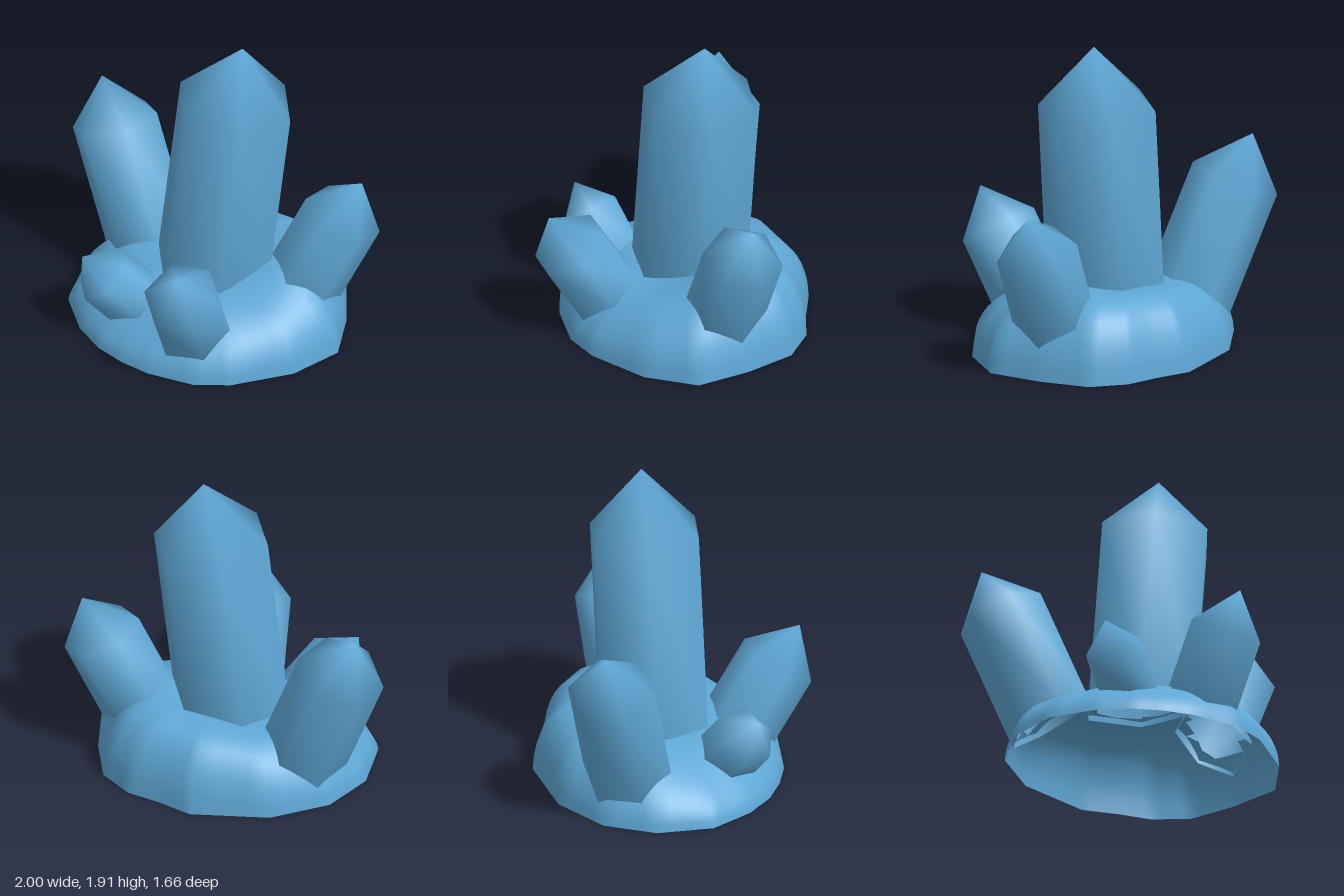
import * as THREE from 'three';
import { mergeVertices } from 'three/addons/utils/BufferGeometryUtils.js';

const crystalBlue = new THREE.MeshStandardMaterial({ color: 0x5fa8d6, side: THREE.DoubleSide });
crystalBlue.name = 'crystal blue';

// shoulder: centre of the widest ring, tip: point, r: radius, roll: degrees
const CRYSTALS = [
  { name: 'mainCrystal', shoulder: [0.15, 1.515, -0.155], tip: [0.19, 1.91, -0.17], r: 0.36, roll: 0 },
  { name: 'leftOfMainCrystal', shoulder: [-0.755, 0.925, -0.415], tip: [-0.86, 1.19, -0.46], r: 0.268, roll: 50 },
  { name: 'rightOfMainCrystal', shoulder: [0.79, 0.79, -0.285], tip: [0.9, 1.035, -0.32], r: 0.243, roll: 40 },
  { name: 'frontCrystal', shoulder: [0.17, 0.61, 0.64], tip: [0.19, 0.83, 0.77], r: 0.235, roll: 52 },
  { name: 'smallCrystal', shoulder: [-0.455, 0.435, 0.4], tip: [-0.56, 0.575, 0.47], r: 0.19, roll: 50 },
].map((c) => {
  const shoulder = new THREE.Vector3(...c.shoulder);
  const axis = new THREE.Vector3(...c.tip).sub(shoulder);
  const tipHeight = axis.length();
  return { ...c, shoulder, axis: axis.normalize(), tipHeight };
});

// Outline of the rock on the ground, around its centre
const CENTRE = [0.03, -0.1];
const RIM = [
  [0.89, 0], [0.74, 0.3], [0.45, 0.56], [0.25, 0.65], [-0.05, 0.66], [-0.24, 0.62], [-0.42, 0.55],
  [-0.6, 0.42], [-0.78, 0.19], [-0.82, -0.15], [-0.7, -0.46], [-0.41, -0.705], [0.05, -0.825],
  [0.27, -0.765], [0.47, -0.73], [0.67, -0.6], [0.8, -0.32],
].map(([x, z]) => [x - CENTRE[0], z - CENTRE[1]]);

// How far out a point is: 0 at the centre, 1 at the rim
function rimFraction(x, z) {
  const px = x - CENTRE[0], pz = z - CENTRE[1];
  return Math.min(1, Math.max(...RIM.map(([ax, az], i) => {
    const [bx, bz] = RIM[(i + 1) % RIM.length];
    const ex = bx - ax, ez = bz - az;
    return (px * ez - pz * ex) / (ax * ez - az * ex);
  })));
}

// Height of the rock: lower towards the front and the -x side, swelling where crystals leave it
function rockHeight(x, z, k) {
  const dome = Math.pow(1 - Math.pow(k, 4.5), 0.55);
  let y = 0.46 * (0.79 - 0.39 * z + 0.25 * x);
  for (const { shoulder } of CRYSTALS.slice(1)) {
    const d = Math.hypot(x - shoulder.x * 0.62, z - shoulder.z * 0.62);
    y += 0.05 * Math.exp(-d * d / 0.04);
  }
  return y * dome;
}

// Hollow six-sided shaft with a pointed top, its foot cut to the rock
function crystal({ name, shoulder, axis, tipHeight, r, roll }) {
  const profile = [[r, -0.05], [r, 0], [0, tipHeight]].map((p) => new THREE.Vector2(...p));
  let geo = new THREE.LatheGeometry(profile, 6, THREE.MathUtils.degToRad(90 - roll));
  geo.deleteAttribute('normal');
  geo.deleteAttribute('uv');
  geo = mergeVertices(geo);
  const ex = new THREE.Vector3(1, 0, 0).addScaledVector(axis, -axis.x).normalize();
  const ez = new THREE.Vector3().crossVectors(ex, axis);
  const frame = new THREE.Matrix4().makeBasis(ex, axis, ez).setPosition(shoulder);
  const pos = geo.attributes.position;
  const p = new THREE.Vector3();
  for (let i = 0; i < pos.count; i++) {
    p.fromBufferAttribute(pos, i);
    const isFoot = p.y < -0.01;
    p.applyMatrix4(frame);
    while (isFoot && p.y > Math.max(0.02, rockHeight(p.x, p.z, rimFraction(p.x, p.z)) - 0.03)) {
      p.addScaledVector(axis, -0.01);
    }
    pos.setXYZ(i, p.x, p.y, p.z);
  }
  geo.computeVertexNormals();
  const mesh = new THREE.Mesh(geo, crystalBlue);
  mesh.name = name;
  return mesh;
}

// True where the rock opens into a hollow crystal
function insideCrystal(p) {
  return CRYSTALS.some(({ shoulder, axis, r }) => {
    const d = p.clone().sub(shoulder);
    return d.addScaledVector(axis, -d.dot(axis)).length() < r * 0.87;
  });
}

// Rock mound, open below and into the crystals
function rockBase() {
  const steps = 4, n = RIM.length * steps;
  const rings = [1, 0.99, 0.97, 0.94, 0.9, 0.85, 0.8, 0.74, 0.68, 0.62, 0.56, 0.5, 0.44, 0.38, 0.32, 0.26, 0.2, 0.12, 0.02];
  const points = [], index = [];
  const addFace = (...f) => {
    if (!f.every((v) => insideCrystal(points[v]))) index.push(...f);
  };
  rings.forEach((k, j) => {
    for (let i = 0; i < n; i++) {
      const [ax, az] = RIM[Math.floor(i / steps)];
      const [bx, bz] = RIM[(Math.floor(i / steps) + 1) % RIM.length];
      const t = (i % steps) / steps;
      const x = CENTRE[0] + k * (ax + (bx - ax) * t);
      const z = CENTRE[1] + k * (az + (bz - az) * t);
      points.push(new THREE.Vector3(x, rockHeight(x, z, k), z));
    }
    if (j === 0) return;
    for (let i = 0; i < n; i++) {
      const a = (j - 1) * n + i, b = (j - 1) * n + (i + 1) % n;
      addFace(a, a + n, b);
      addFace(b, a + n, b + n);
    }
  });
  const geo = new THREE.BufferGeometry().setFromPoints(points);
  geo.setIndex(index);
  geo.computeVertexNormals();
  const mesh = new THREE.Mesh(geo, crystalBlue);
  mesh.name = 'rockBase';
  return mesh;
}

export function createModel() {
  const group = new THREE.Group();
  group.name = 'crystalCluster';
  group.add(rockBase(), ...CRYSTALS.map(crystal));
  return group;
}
